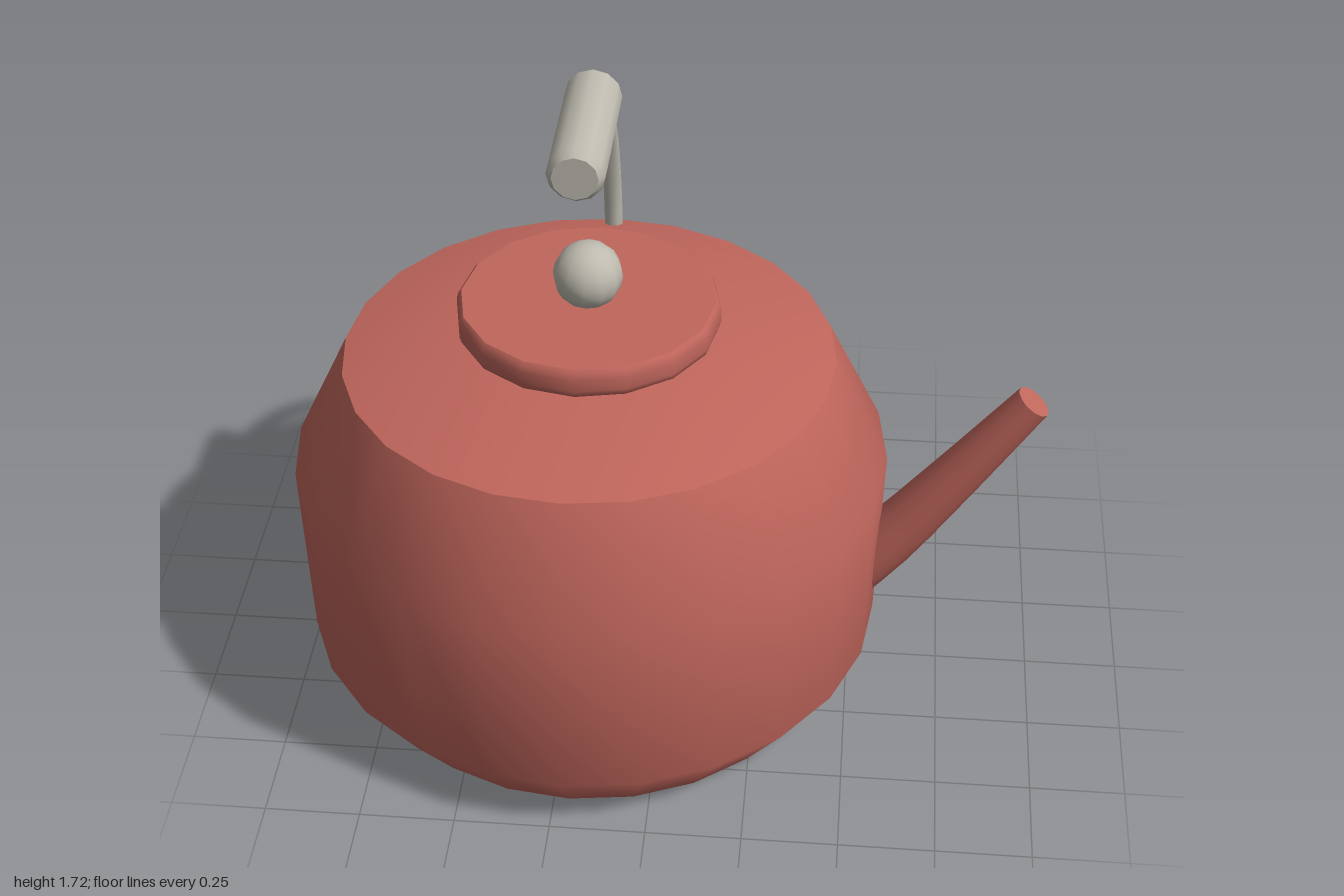
import * as THREE from 'three';

const red = new THREE.MeshStandardMaterial({ color: 0xc0665c });
red.name = 'red enamel';
const grey = new THREE.MeshStandardMaterial({ color: 0xbfbbb0 });
grey.name = 'warm grey';

const AXIS = -0.21; // x of the pot's centre line

function mesh(name, geometry, material) {
  const m = new THREE.Mesh(geometry, material);
  m.name = name;
  return m;
}

// Turned part: each profile is smooth in itself, with a crease between profiles
function turned(name, profiles, sides, material) {
  const group = new THREE.Group();
  group.name = name;
  profiles.forEach((profile, i) => {
    const points = profile.map(([r, y]) => new THREE.Vector2(r, y));
    group.add(mesh(`${name}Section${i + 1}`, new THREE.LatheGeometry(points, sides), material));
  });
  return group;
}

// Tube along a curve whose radius runs from r0 to r1
function taperedTube(curve, steps, sides, r0, r1) {
  const geometry = new THREE.TubeGeometry(curve, steps, 1, sides);
  const pos = geometry.attributes.position;
  const v = new THREE.Vector3();
  for (let i = 0; i < pos.count; i++) {
    const t = Math.floor(i / (sides + 1)) / steps;
    const centre = curve.getPointAt(t);
    v.fromBufferAttribute(pos, i).sub(centre);
    v.multiplyScalar(THREE.MathUtils.lerp(r0, r1, t)).add(centre);
    pos.setXYZ(i, v.x, v.y, v.z);
  }
  return geometry;
}

export function createModel() {
  const model = new THREE.Group();
  model.name = 'kettle';

  // Pot, lid, knob and handle share one centre line
  const pot = new THREE.Group();
  pot.name = 'pot';
  pot.position.x = AXIS;
  model.add(pot);

  pot.add(turned('body', [
    [[0, 0], [0.645, 0]],
    [[0.645, 0], [0.775, 0.175], [0.79, 0.69], [0.645, 0.993]],
    [[0.645, 0.993], [0.33, 1.08], [0, 1.08]],
  ], 24, red));

  pot.add(turned('lid', [
    [[0, 1.078], [0.325, 1.078]],
    [[0.325, 1.078], [0.338, 1.088], [0.343, 1.105], [0.343, 1.138], [0.338, 1.155], [0.33, 1.164]],
    [[0.33, 1.164], [0, 1.164]],
  ], 16, red));

  const knob = mesh('knob', new THREE.SphereGeometry(0.09, 12, 10), grey);
  knob.position.y = 1.23;
  pot.add(knob);

  // Handle: one curved arm rising from the back shoulder into the grip
  const arm = new THREE.CatmullRomCurve3([
    [0.97, -0.61], [1.1, -0.597], [1.22, -0.567], [1.35, -0.512],
    [1.45, -0.435], [1.53, -0.34], [1.59, -0.22], [1.61, -0.15],
  ].map(([y, z]) => new THREE.Vector3(0, y, z)));
  pot.add(mesh('handleArm', new THREE.TubeGeometry(arm, 12, 0.025, 6), grey));

  const grip = turned('grip', [
    [[0, -0.215], [0.058, -0.215]],
    [[0.058, -0.215], [0.073, -0.195], [0.073, 0.195], [0.058, 0.215]],
    [[0.058, 0.215], [0, 0.215]],
  ], 12, grey);
  grip.rotation.x = Math.PI / 2;
  grip.position.y = 1.642;
  pot.add(grip);

  // Spout: gently bent, tapered and closed at the tip
  const path = new THREE.CatmullRomCurve3([
    new THREE.Vector3(0.46, 0.275, 0),
    new THREE.Vector3(0.59, 0.415, 0),
    new THREE.Vector3(0.75, 0.625, 0),
    new THREE.Vector3(0.95, 0.9, 0),
  ]);
  const spout = new THREE.Group();
  spout.name = 'spout';
  spout.add(mesh('spoutTube', taperedTube(path, 8, 12, 0.09, 0.05), red));
  const tip = mesh('spoutTip', new THREE.CircleGeometry(0.05, 12), red);
  tip.position.copy(path.getPointAt(1));
  tip.quaternion.setFromUnitVectors(new THREE.Vector3(0, 0, 1), path.getTangentAt(1));
  spout.add(tip);
  model.add(spout);

  return model;
}
